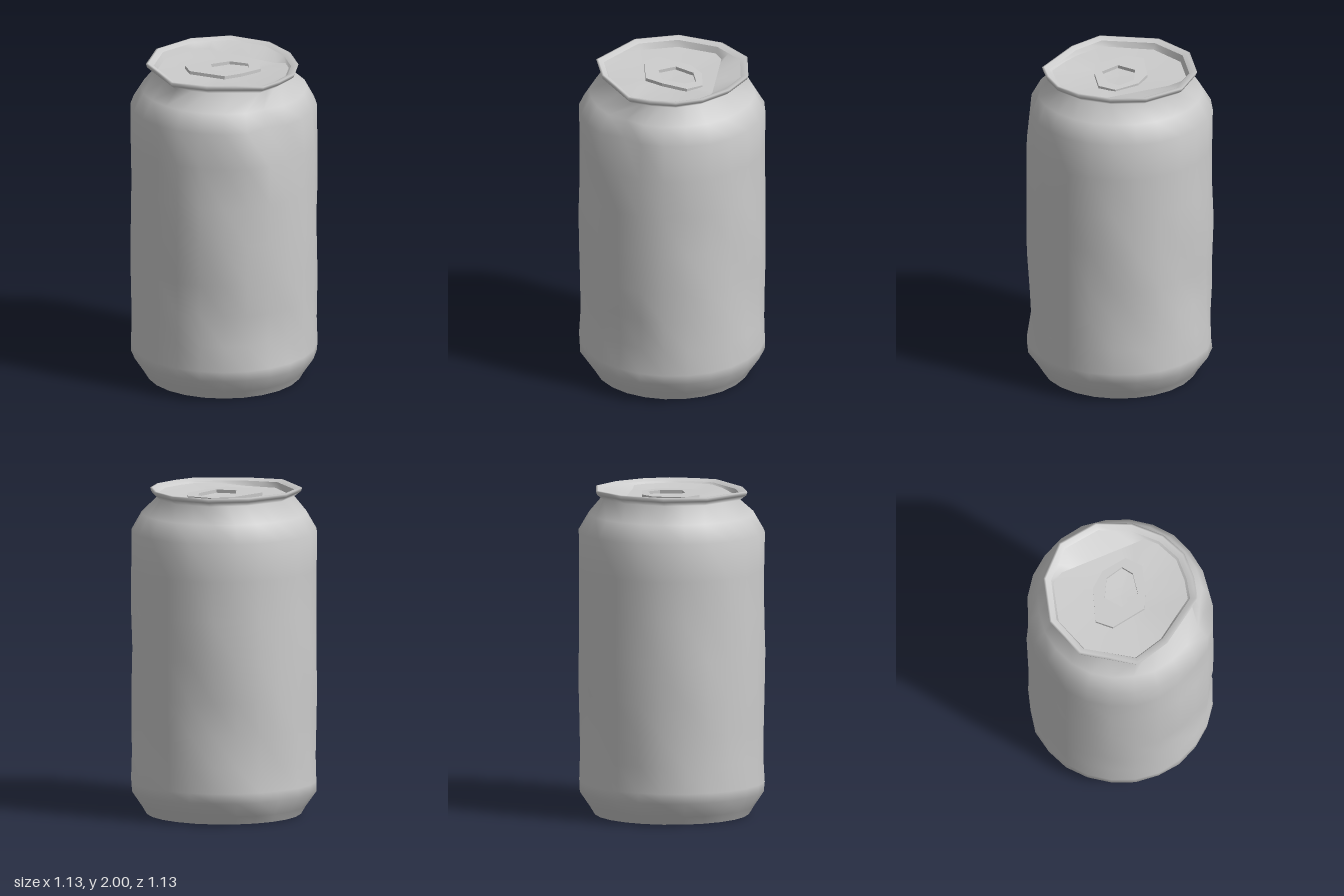
import * as THREE from 'three';

// Uneven rim outline as [x, z], turning from the back round by the right-hand side
const CORNERS = [[-0.06, -0.47], [0.22, -0.42], [0.41, -0.26], [0.47, -0.01], [0.40, 0.2], [0.27, 0.36],
  [0.12, 0.445], [-0.04, 0.455], [-0.18, 0.435], [-0.4, 0.17], [-0.48, -0.04], [-0.31, -0.36]];
const RIM = CORNERS.flatMap((p, i) => {
  const q = CORNERS[(i + 1) % CORNERS.length];
  return [p, [(p[0] + q[0]) / 2, (p[1] + q[1]) / 2]];
});
const N = RIM.length;

// Dents in the wall: x, y, z, reach, depth
const DENTS = [[-0.2, 1.73, 0.52, 0.16, 0.06], [0.14, 1.73, 0.54, 0.12, 0.02], [-0.2, 0.42, 0.53, 0.22, 0.025],
  [-0.5, 0.6, 0.25, 0.2, 0.02], [0.5, 0.65, 0.2, 0.2, 0.02], [0.46, 0.65, -0.33, 0.25, 0.025],
  [0.4, 1.05, 0.4, 0.2, 0.015], [0.1, 0.3, -0.56, 0.2, 0.02], [-0.5, 1.5, 0.27, 0.2, 0.02]];

let seed = 7;
const rand = () => (seed = (seed * 16807) % 2147483647) / 2147483647;

// Ring following the rim outline, tilted slightly down at the front
const rimRing = (scale, y, tilt = 0.015) => RIM.map(([x, z]) =>
  [x * scale, y - tilt * (z + 0.47) / 0.93, z * scale]);

// Round ring
const roundRing = (r, y) => RIM.map((_, i) => {
  const a = (i / N) * Math.PI * 2 - 1.69;
  return [r * Math.cos(a), y, r * Math.sin(a)];
});

// Crumpled wall ring: small wobble plus the local dents
const wallRing = (r, y) => roundRing(r, y).map(([x, py, z]) => {
  let push = rand() * 0.007;
  for (const [dx, dy, dz, reach, depth] of DENTS) {
    const d = Math.hypot(x - dx, py - dy, z - dz) / reach;
    push += depth * Math.max(0, 1 - d * d);
  }
  const k = 1 - push / r;
  return [x * k, py, z * k];
});

// Smooth skin through rings of equal length
function loft(name, rings, material) {
  const index = [];
  for (let k = 0; k < rings.length - 1; k++) {
    for (let i = 0; i < N; i++) {
      const j = (i + 1) % N, a = k * N, b = a + N;
      index.push(a + i, b + i, b + j, a + i, b + j, a + j);
    }
  }
  const geometry = new THREE.BufferGeometry();
  geometry.setAttribute('position', new THREE.Float32BufferAttribute(rings.flat(2), 3));
  geometry.setIndex(index);
  geometry.computeVertexNormals();
  const mesh = new THREE.Mesh(geometry, material);
  mesh.name = name;
  return mesh;
}

export function createModel() {
  const can = new THREE.Group();
  can.name = 'drinkCan';
  const metal = new THREE.MeshStandardMaterial({ color: 0xcccccc });
  metal.name = 'plain metal';

  // Base, wall, shoulder and neck
  const wall = [[0.565, 0.14], [0.567, 0.2], [0.563, 0.36], [0.565, 0.55], [0.568, 0.75], [0.571, 1.0],
    [0.568, 1.25], [0.568, 1.5], [0.568, 1.73], [0.505, 1.84]].map(([r, y]) => wallRing(r, y));
  can.add(loft('canWall', [roundRing(0.47, 0), roundRing(0.5, 0.05), ...wall,
    rimRing(0.9, 1.945), rimRing(0.985, 1.975)], metal));

  // Rolled rim
  can.add(loft('topRim', [rimRing(0.9, 1.945), rimRing(0.985, 1.975), rimRing(1, 1.997),
    rimRing(0.97, 2), rimRing(0.9, 1.985)], metal));

  // Sunken lid, with a broad slope on the +x side and a gentle rise at the front
  const edge = rimRing(0.9, 1.985);
  const foot = rimRing(0.87, 1.945, 0).map(([x, y, z]) =>
    [Math.min(x, 0.27 + 0.1 * z), z > 0.2 ? y + 0.015 : y, z]);
  can.add(loft('lidWall', [edge, foot], metal));
  can.add(loft('lidPanel', [foot, foot.map(([x, , z]) => [x * 0.55, 1.938, z * 0.55]),
    foot.map(() => [0, 1.935, 0])], metal));

  // Pull tab: bent ring with a finger hole
  const v = (pts) => pts.map(([x, z]) => new THREE.Vector2(x, -z));
  const shape = new THREE.Shape(v([[-0.2, -0.11], [-0.13, -0.2], [-0.05, -0.18], [0.08, -0.15], [0.17, -0.06],
    [0.21, 0.1], [0.13, 0.18], [-0.03, 0.15], [-0.14, 0.11]]));
  shape.holes.push(new THREE.Path(v([[-0.09, -0.02], [-0.04, 0.1], [0.1, 0.11], [0.16, 0.06],
    [0.12, -0.05], [0.0, -0.1]])));
  const tabGeometry = new THREE.ExtrudeGeometry(shape, { depth: 0.02, bevelEnabled: false });
  tabGeometry.rotateX(-Math.PI / 2);
  const tab = new THREE.Mesh(tabGeometry, metal);
  tab.name = 'pullTab';
  tab.position.y = 1.942;
  tab.rotation.z = -0.05;
  can.add(tab);

  // Slightly hollow underside
  can.add(loft('underside', [roundRing(0.001, 0.035), roundRing(0.3, 0.03), roundRing(0.43, 0.012),
    roundRing(0.47, 0)], metal));

  return can;
}
